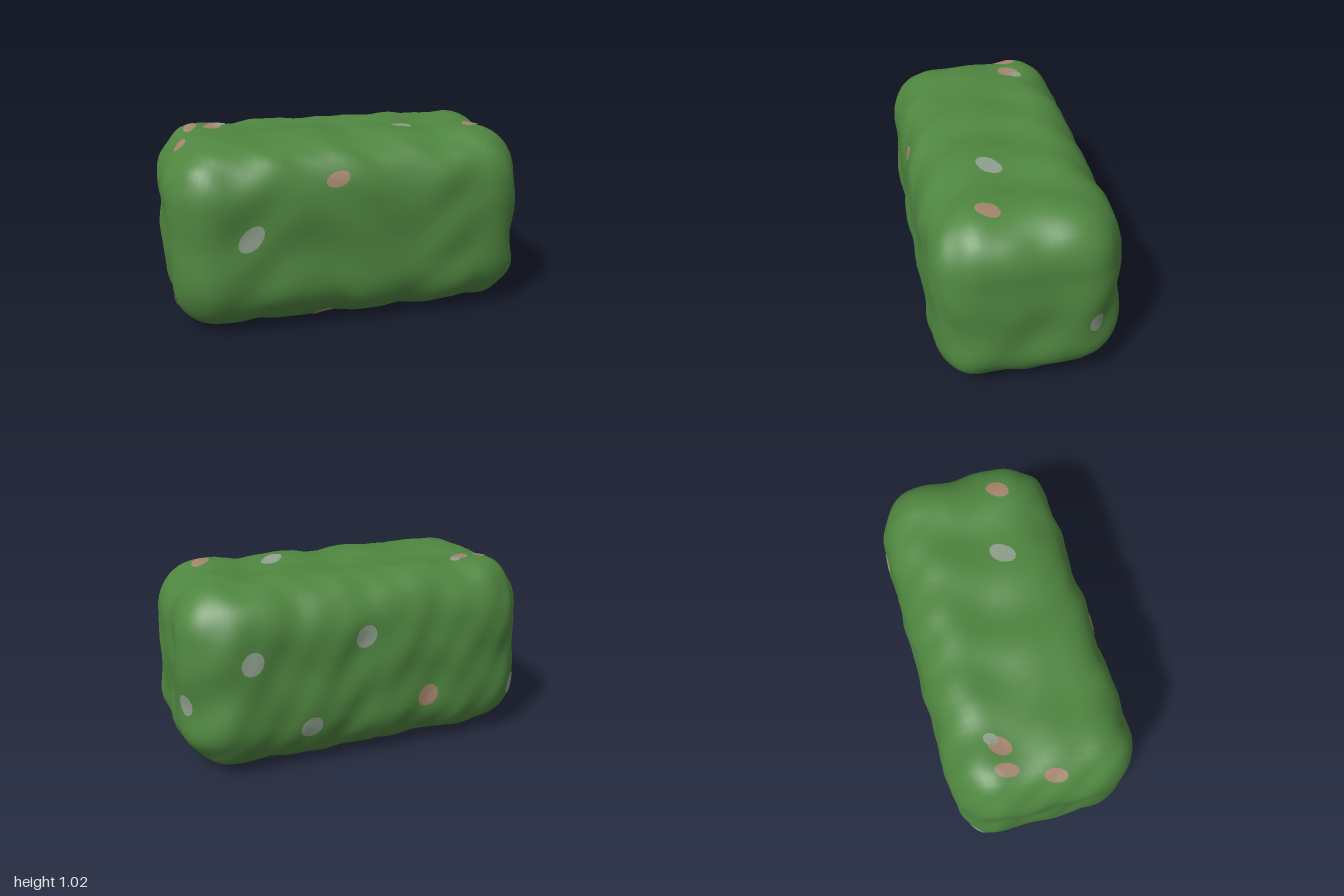
import * as THREE from 'three';
import { mergeVertices } from 'three/addons/utils/BufferGeometryUtils.js';

const HALF = new THREE.Vector3(0.978, 0.492, 0.492);
const ROUND = 0.26;
const CENTER_Y = 0.51;
const CORE = HALF.clone().subScalar(ROUND);
const CORE_MIN = CORE.clone().negate();

// Gentle clipped-leaf bumps, about a third of a unit across
function bumps({ x, y, z }) {
  return 0.006 * Math.sin(15 * x + 3 * Math.sin(4 * z + 1) + 3 * y)
    + 0.005 * Math.sin(18 * y + 3 * Math.sin(6 * x) + 2)
    + 0.005 * Math.sin(17 * z + 3 * Math.sin(5 * y + x) + 4)
    + 0.003 * Math.sin(31 * x + 17 * y - 25 * z);
}

// Push any outer point onto the bumpy rounded block
function onHedge(p, lift = 0) {
  const core = p.clone().clamp(CORE_MIN, CORE);
  const normal = p.clone().sub(core).normalize();
  const point = core.addScaledVector(normal, ROUND);
  point.addScaledVector(normal, bumps(point) + lift);
  return { point, normal };
}

function hedgeGeometry() {
  let g = new THREE.BoxGeometry(HALF.x * 2, HALF.y * 2, HALF.z * 2, 44, 24, 24);
  g.deleteAttribute('normal');
  g.deleteAttribute('uv');
  g = mergeVertices(g);
  const pos = g.attributes.position;
  const v = new THREE.Vector3();
  for (let i = 0; i < pos.count; i++) {
    const { point } = onHedge(v.fromBufferAttribute(pos, i));
    pos.setXYZ(i, point.x, point.y, point.z);
  }
  g.computeVertexNormals();
  return g;
}

// Thin oval petal patch that follows the hedge surface
function blossomGeometry(x, y, z, tilt, long, short) {
  const { point, normal } = onHedge(new THREE.Vector3(x, y - CENTER_Y, z));
  const ref = Math.abs(normal.y) > 0.75 ? new THREE.Vector3(0, 0, -Math.sign(normal.y)) : new THREE.Vector3(0, 1, 0);
  const u = ref.cross(normal).normalize();
  const w = normal.clone().cross(u);
  const rings = 3, sides = 14, verts = [], index = [];
  for (let r = 0; r <= rings; r++) {
    for (let s = 0; s < sides; s++) {
      const a = (s / sides) * Math.PI * 2;
      const dx = Math.cos(a) * long * r / rings, dy = Math.sin(a) * short * r / rings;
      const p = point.clone()
        .addScaledVector(u, dx * Math.cos(tilt) - dy * Math.sin(tilt))
        .addScaledVector(w, dx * Math.sin(tilt) + dy * Math.cos(tilt));
      verts.push(...onHedge(p, 0.004).point.toArray());
      if (r === rings) continue;
      const i = r * sides + s, j = r * sides + (s + 1) % sides;
      if (r > 0) index.push(i, j + sides, j);
      index.push(i, i + sides, j + sides);
    }
  }
  const g = new THREE.BufferGeometry();
  g.setAttribute('position', new THREE.Float32BufferAttribute(verts, 3));
  g.setIndex(index);
  g.computeVertexNormals();
  return g;
}

export function createModel() {
  const leaf = new THREE.MeshStandardMaterial({ color: 0x4f8640 });
  const pale = new THREE.MeshStandardMaterial({ color: 0x8f9f8c });
  const pink = new THREE.MeshStandardMaterial({ color: 0xa3846c });
  leaf.name = 'leafGreen';
  pale.name = 'paleBlossom';
  pink.name = 'pinkBlossom';

  const group = new THREE.Group();
  group.name = 'hedge';
  const add = (name, geometry, material) => {
    const mesh = new THREE.Mesh(geometry, material);
    mesh.name = name;
    mesh.position.y = CENTER_Y;
    group.add(mesh);
  };
  add('hedgeBody', hedgeGeometry(), leaf);

  // Blossoms: x, y, z, then optional tilt, half length, half width
  const blossoms = (name, material, spots) => spots.forEach(
    ([x, y, z, tilt = 0.9, long = 0.066, short = 0.056]) =>
      add(name, blossomGeometry(x, y, z, tilt, long, short), material));

  blossoms('paleBlossom', pale, [
    [-0.58, 0.55, 0.5, 0.8, 0.084, 0.052],
    [0.35, 1.01, 0.11, 0.8, 0.077, 0.052],
    [-0.615, 1.01, -0.235, 0.9, 0.04, 0.03],
    [0.97, 0.41, -0.325, 1.57, 0.06, 0.045],
    [0.65, 0.65, -0.5],
    [0.03, 0.71, -0.5],
    [0.34, 0.25, -0.5],
    [-0.93, 0.27, -0.42],
    [-0.42, 0.01, 0.07],
    [0.8, 0.02, -0.04, 0, 0.05, 0.05],
  ]);
  blossoms('pinkBlossom', pink, [
    [-0.12, 0.84, 0.5, 0.3, 0.065, 0.04],
    [-0.79, 1.01, -0.2, 1.2, 0.064, 0.036],
    [-0.66, 1.01, -0.2, 0.8, 0.066, 0.045],
    [-0.89, 0.98, 0.03, 1.2, 0.062, 0.04],
    [0.73, 1.01, 0.19, 0.9, 0.068, 0.046],
    [-0.34, 0.32, -0.5],
    [-0.95, 0.17, 0.25, 0.9, 0.055, 0.045],
    [-0.18, 0.01, 0.39],
    [0.82, 0.03, -0.1, 0, 0.055, 0.045],
  ]);
  return group;
}
